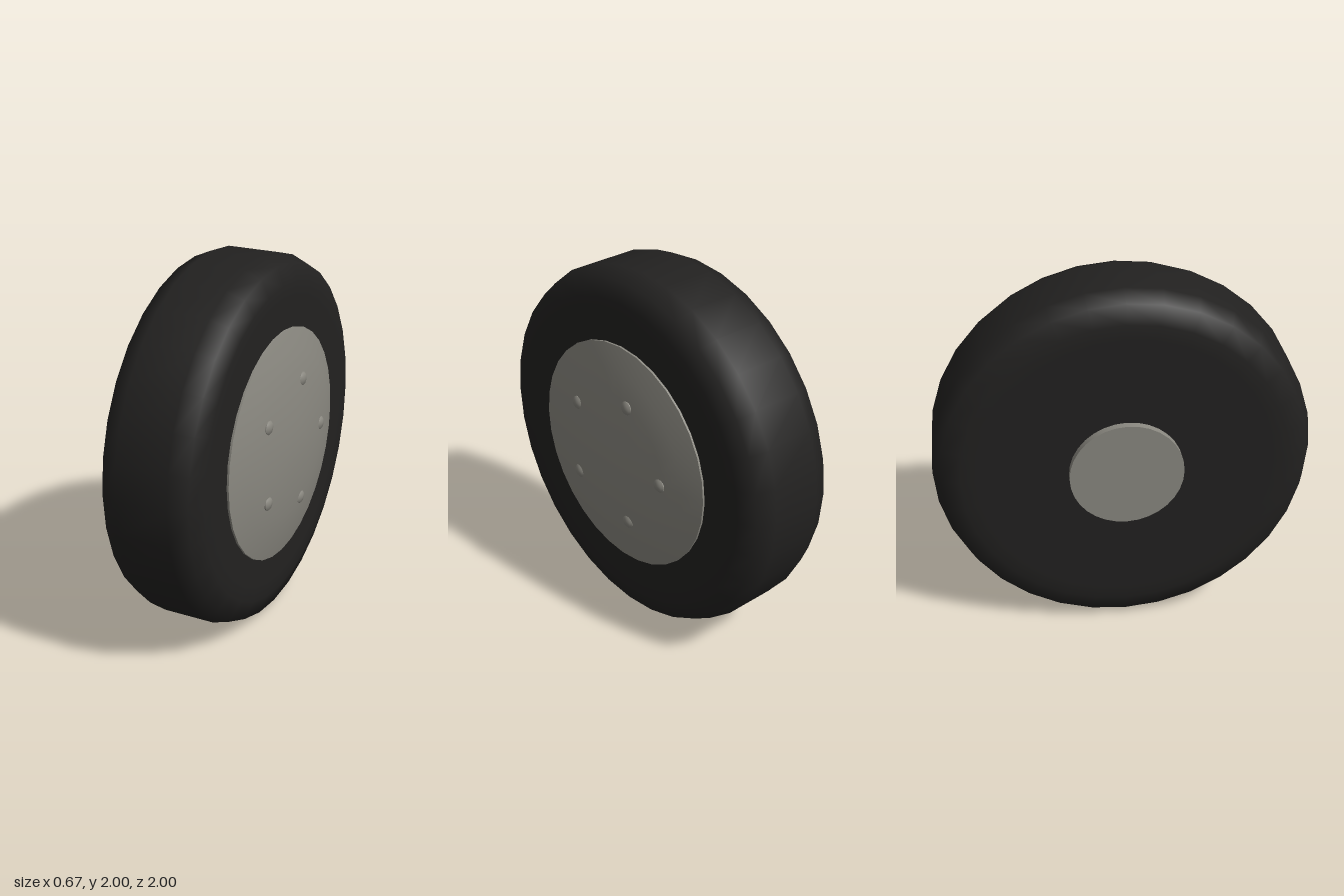
import * as THREE from 'three';
import { toCreasedNormals } from 'three/addons/utils/BufferGeometryUtils.js';

const rubber = new THREE.MeshStandardMaterial({ color: 0x222120 });
const metal = new THREE.MeshStandardMaterial({ color: 0x8a8880 });

// Revolves [x, radius] points around the axle (the x axis)
function turned(name, profile, material, sides, crease) {
  const points = profile.map(([x, r]) => new THREE.Vector2(r, x));
  let geometry = new THREE.LatheGeometry(points, sides).rotateZ(-Math.PI / 2);
  if (crease) geometry = toCreasedNormals(geometry, crease);
  const mesh = new THREE.Mesh(geometry, material);
  mesh.name = name;
  return mesh;
}

export function createModel() {
  const wheel = new THREE.Group();
  wheel.name = 'wheel';
  wheel.position.y = 1;

  // Tyre with flat side walls and softly rounded shoulders
  wheel.add(turned('tyre', [
    [-0.3, 0], [-0.3, 0.78], [-0.3, 0.86], [-0.27, 0.96], [-0.175, 1],
    [0.11, 1], [0.205, 0.96], [0.237, 0.86], [0.237, 0.78], [0.237, 0],
  ], rubber, 32));

  // Shallow domed cap on the outer side
  wheel.add(turned('hubCap', [
    [0.23, 0.63], [0.248, 0.63], [0.28, 0.51], [0.302, 0.38],
    [0.318, 0.25], [0.327, 0.12], [0.33, 0],
  ], metal, 32, 0.6));

  // Axle stub on the inner side
  wheel.add(turned('axleHub', [
    [-0.338, 0], [-0.338, 0.3], [-0.29, 0.3],
  ], metal, 32, 0.6));

  // Ring of five bolts, the first one pointing to the back
  const bolts = new THREE.Group();
  bolts.name = 'bolts';
  for (let i = 0; i < 5; i++) {
    const angle = (i * Math.PI * 2) / 5;
    const bolt = turned('bolt', [
      [0.28, 0.038], [0.304, 0.038], [0.313, 0.028], [0.317, 0],
    ], metal, 16, 0.7);
    bolt.position.set(0, 0.36 * Math.sin(angle), -0.36 * Math.cos(angle));
    bolts.add(bolt);
  }
  wheel.add(bolts);

  const model = new THREE.Group();
  model.add(wheel);
  return model;
}
